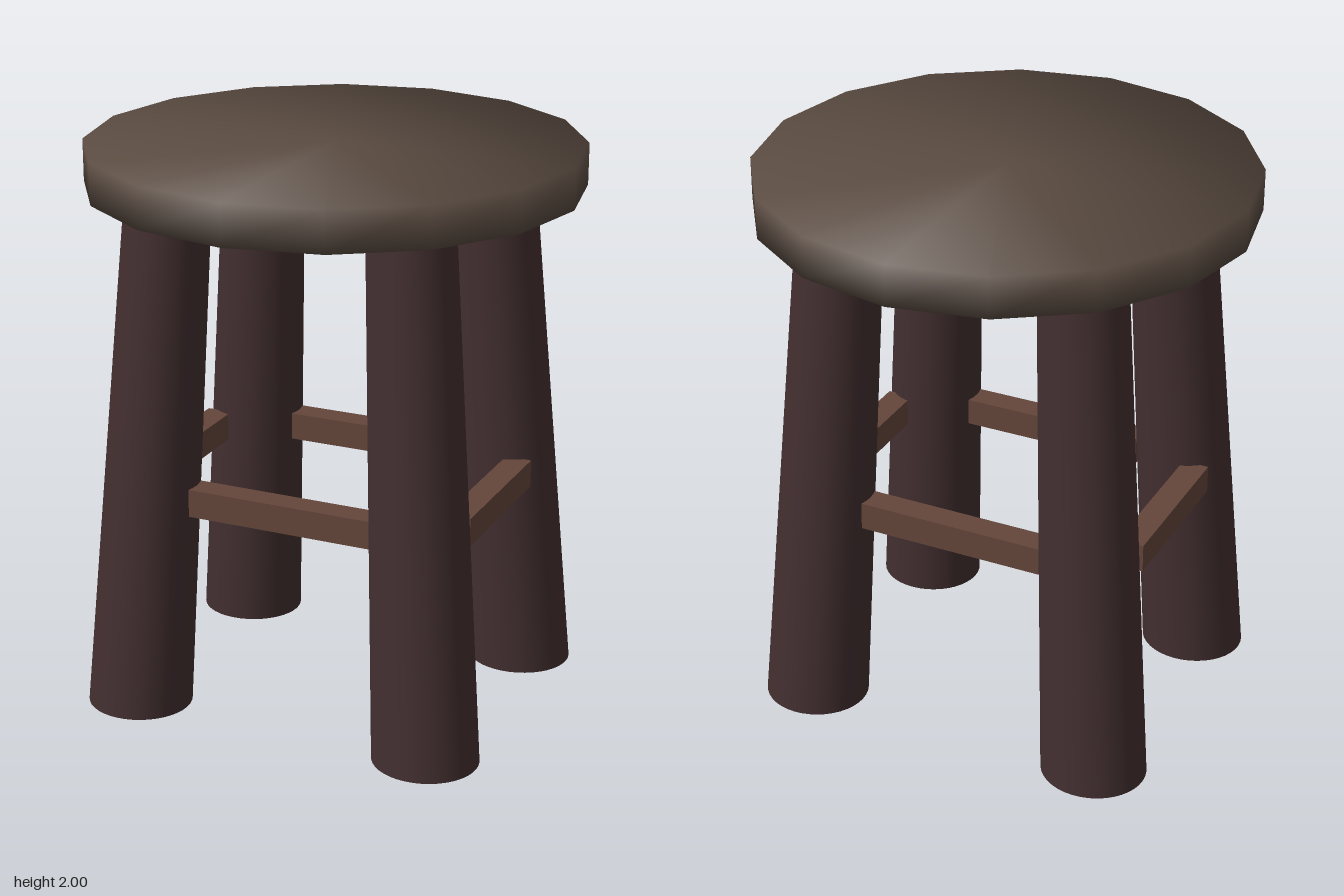
import * as THREE from 'three';

const seatMaterial = new THREE.MeshStandardMaterial({ color: 0x5a4b41 });
const legMaterial = new THREE.MeshStandardMaterial({ color: 0x432f30 });
const railMaterial = new THREE.MeshStandardMaterial({ color: 0x64463b });

function addMesh(group, name, geometry, material, x = 0, y = 0, z = 0) {
  const mesh = new THREE.Mesh(geometry, material);
  mesh.name = name;
  mesh.position.set(x, y, z);
  group.add(mesh);
}

// Sixteen-sided disc, its normals blended softly over the rim
function seatGeometry(radius, height) {
  const geometry = new THREE.CylinderGeometry(radius, radius, height, 16);
  const p = geometry.attributes.position;
  for (let i = 0; i < p.count; i++) {
    geometry.attributes.normal.setXYZ(i, p.getX(i) / radius, Math.sign(p.getY(i)), p.getZ(i) / radius);
  }
  return geometry;
}

// Tapered oval leg, sheared so it splays while both ends stay level
function legGeometry(sx, sz) {
  const height = 1.84;
  const geometry = new THREE.CylinderGeometry(0.149, 0.187, height, 40);
  geometry.translate(0, height / 2, 0);
  const leanX = -sx * 0.111 / height;
  const leanZ = -sz * 0.089 / height;
  geometry.applyMatrix4(new THREE.Matrix4().set(
    1, leanX, 0, sx * 0.552,
    0, 1, 0, 0,
    0, leanZ, 0.95, sz * 0.455,
    0, 0, 0, 1));
  return geometry;
}

export function createModel() {
  const stool = new THREE.Group();
  stool.name = 'stool';

  addMesh(stool, 'seat', seatGeometry(0.857, 0.145), seatMaterial, 0, 1.9275, 0);

  // Legs
  for (const sx of [1, -1]) {
    for (const sz of [1, -1]) {
      const name = (sz > 0 ? 'front' : 'back') + (sx > 0 ? 'Left' : 'Right') + 'Leg';
      addMesh(stool, name, legGeometry(sx, sz), legMaterial, -0.004, 0, 0.005);
    }
  }

  // Rails between the legs
  for (const s of [1, -1]) {
    addMesh(stool, s > 0 ? 'frontRail' : 'backRail',
      new THREE.BoxGeometry(0.68, 0.1, 0.095), railMaterial, -0.003, 0.79, s * 0.413 + 0.003);
    addMesh(stool, s > 0 ? 'leftRail' : 'rightRail',
      new THREE.BoxGeometry(0.095, 0.1, 0.585), railMaterial, s * 0.594 - 0.008, 0.79, 0.008);
  }
  return stool;
}
